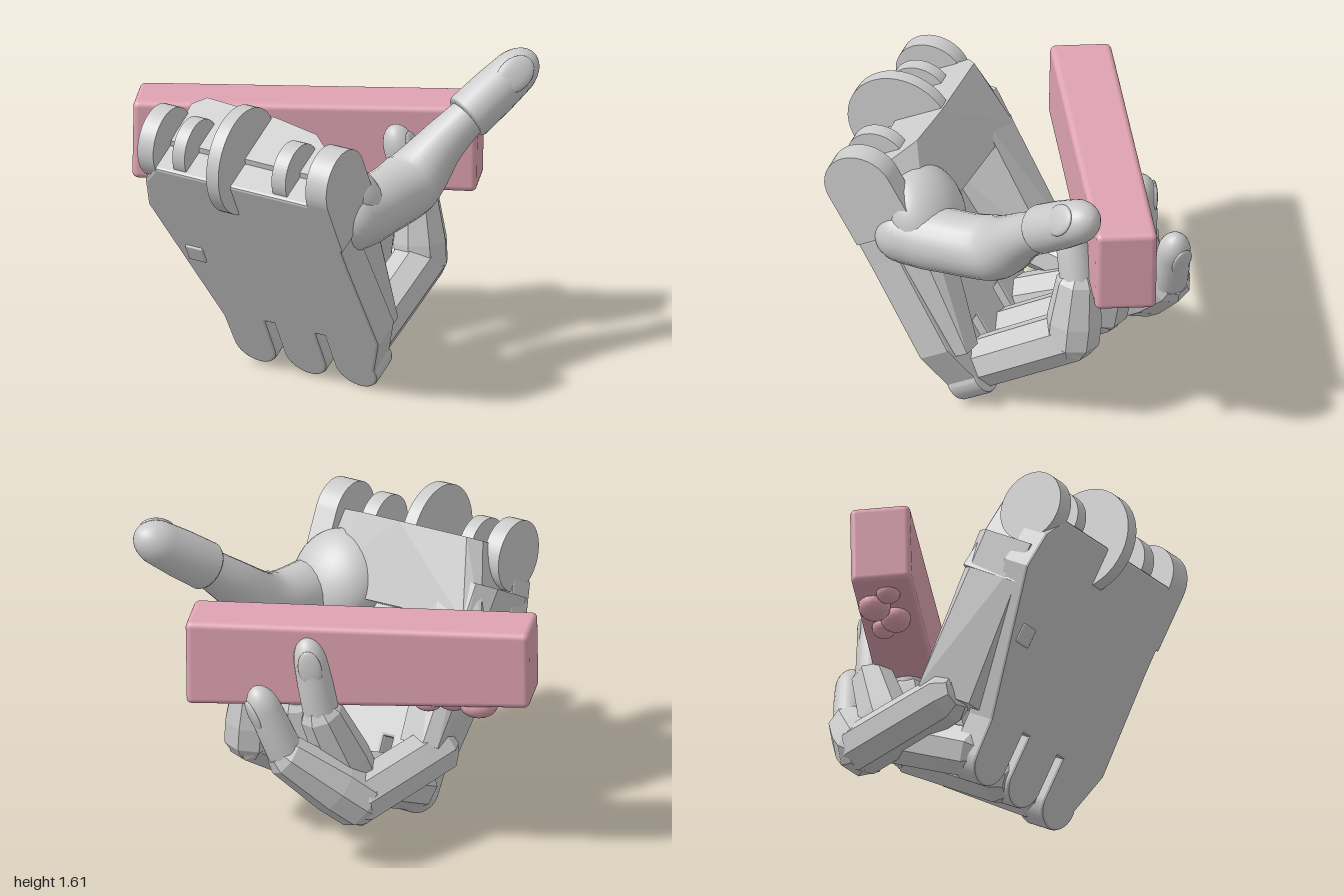
import * as THREE from 'three';
import { RoundedBoxGeometry } from 'three/addons/geometries/RoundedBoxGeometry.js';
import { ConvexGeometry } from 'three/addons/geometries/ConvexGeometry.js';

const V = (x, y, z) => new THREE.Vector3(x, y, z);
const UP = V(0, 1, 0);

export function createModel() {
  const model = new THREE.Group();
  model.name = 'handHoldingBar';
  const grey = new THREE.MeshStandardMaterial({ color: 0xcccccc });
  const flat = new THREE.MeshStandardMaterial({ color: 0xcccccc, flatShading: true });
  const pink = new THREE.MeshStandardMaterial({ color: 0xdfa3b2 });

  function add(parent, name, geometry, material = grey) {
    const mesh = new THREE.Mesh(geometry, material);
    mesh.name = name;
    parent.add(mesh);
    return mesh;
  }

  // Stand a y-axis geometry on point a, aimed at point b
  function aim(mesh, a, b) {
    mesh.position.copy(a);
    mesh.quaternion.setFromUnitVectors(UP, b.clone().sub(a).normalize());
    return mesh;
  }

  // Chamfered eight-sided finger bone with blunt ends
  function bone(parent, name, a, b, ra, rb) {
    const L = a.distanceTo(b);
    const pts = [[0.001, -ra * 0.8], [ra * 0.65, -ra * 0.7], [ra, -ra * 0.2], [ra * 1.02, L * 0.3],
      [rb, L + rb * 0.1], [rb * 0.7, L + rb * 0.55], [0.001, L + rb * 0.65]].map(p => new THREE.Vector2(...p));
    const geo = new THREE.LatheGeometry(pts, 8);
    geo.rotateY(Math.PI / 8);
    return aim(add(parent, name, geo, flat), a, b);
  }

  // Smooth fingertip with a collar step and a nail on the given side
  function fingertip(parent, name, a, b, r, nailDir) {
    const L = a.distanceTo(b);
    const pts = [new THREE.Vector2(0.001, 0), new THREE.Vector2(r * 0.93, 0), new THREE.Vector2(r, 0.015),
      new THREE.Vector2(r * 0.98, L * 0.4)];
    for (let i = 0; i <= 8; i++) {
      const t = i / 8 * Math.PI / 2;
      pts.push(new THREE.Vector2(Math.max(0.001, r * 0.92 * Math.cos(t)), L * 0.66 + L * 0.34 * Math.sin(t)));
    }
    aim(add(parent, name, new THREE.LatheGeometry(pts, 24)), a, b);
    const axis = b.clone().sub(a).normalize();
    const out = nailDir.clone().addScaledVector(axis, -nailDir.dot(axis)).normalize();
    const side = axis.clone().cross(out);
    const nail = add(parent, name + 'Nail', new THREE.SphereGeometry(1, 20, 12));
    nail.scale.set(r * 0.65, L * 0.23, r * 0.2);
    nail.quaternion.setFromRotationMatrix(new THREE.Matrix4().makeBasis(side, axis, out));
    nail.position.copy(a).addScaledVector(axis, L * 0.66).addScaledVector(out, r * 0.76);
  }

  // Palm frame: x across the knuckles, y toward the wrist, z out of the back of the hand
  const u = V(0.876, -0.03, 0.48).normalize();
  const n = u.clone().cross(V(-0.225, 0.88, 0.435)).normalize();
  const palm = new THREE.Group();
  palm.name = 'palm';
  palm.quaternion.setFromRotationMatrix(new THREE.Matrix4().makeBasis(u, n.clone().cross(u), n));
  palm.position.set(-0.13, 0.02, 0.05);
  model.add(palm);

  // Back plate with three rounded knuckle lobes separated by slots
  const plate = new THREE.Shape();
  plate.moveTo(0.5, 0.36);
  plate.lineTo(0.415, 0.14);
  [0.315, 0.025, -0.265].forEach((k, i) => {
    if (i) plate.lineTo(k + 0.105, 0.34);
    plate.lineTo(k + 0.105, 0.115);
    plate.absarc(k, 0.115, 0.105, 0, -Math.PI, true);
    if (i < 2) plate.lineTo(k - 0.105, 0.34);
  });
  for (const p of [[-0.38, 0.3], [-0.61, 1.04], [-0.58, 1.22], [-0.5, 1.32], [0.46, 1.32], [0.47, 0.9]]) plate.lineTo(...p);
  const plateGeo = new THREE.ExtrudeGeometry(plate, { depth: 0.14, bevelSize: 0.015, bevelThickness: 0.015, bevelSegments: 2, curveSegments: 14 });
  plateGeo.translate(0, 0, -0.155);
  add(palm, 'backPlate', plateGeo);

  // Faceted solid between two cross-sections [x, z] at heights y0 and y1
  function solid(name, y0, low, y1, high) {
    const pts = [...low.map(p => V(p[0], y0, p[1])), ...high.map(p => V(p[0], y1, p[1]))];
    return add(palm, name, new ConvexGeometry(pts), flat);
  }
  solid('outerPalmSide', 0.32, [[-0.49, -0.1], [-0.55, -0.4], [-0.49, -0.45], [-0.33, -0.4], [-0.3, -0.1]],
    1.15, [[-0.62, -0.05], [-0.63, -0.35], [-0.56, -0.45], [-0.34, -0.44], [-0.25, -0.1]]);
  solid('innerPalmSide', 0.3, [[0.47, -0.06], [0.48, -0.24], [0.4, -0.27], [0.28, -0.14]],
    1.15, [[0.46, -0.06], [0.48, -0.34], [0.42, -0.42], [0.15, -0.38], [0.1, -0.1]]);
  solid('wristBlock', 0.95,
    [[-0.6, -0.06], [-0.62, -0.4], [-0.54, -0.45], [0, -0.36], [0.42, -0.34], [0.46, -0.06]],
    1.36, [[-0.5, -0.17], [-0.52, -0.42], [-0.46, -0.48], [-0.05, -0.46], [0.2, -0.42], [0.38, -0.28], [0.38, -0.17]]);

  // Wrist hinge: discs of different size in one row
  [[-0.55, 0.18, 0.09], [-0.375, 0.155, 0.07], [-0.11, 0.27, 0.07], [0.2, 0.155, 0.08], [0.43, 0.18, 0.12]]
    .forEach(([x, r, w]) => {
      const geo = new THREE.CylinderGeometry(r, r, w, 40);
      geo.rotateZ(Math.PI / 2);
      add(palm, 'hingeDisc', geo).position.set(x, 1.335, -0.18);
    });
  add(palm, 'hingeNeck', new THREE.BoxGeometry(0.12, 0.3, 0.36)).position.set(0.43, 1.185, -0.18);
  const outer = new THREE.CylinderGeometry(0.1, 0.1, 0.16, 24);
  outer.rotateZ(Math.PI / 2);
  add(palm, 'outerKnuckle', outer).position.set(-0.45, 0.33, -0.31);
  add(palm, 'sideTab', new RoundedBoxGeometry(0.1, 0.1, 0.1, 2, 0.01)).position.set(-0.43, 0.74, -0.04);

  // Thumb pad inside the palm
  const pad = add(palm, 'thumbPad', new THREE.SphereGeometry(1, 32, 20));
  pad.scale.set(0.24, 0.25, 0.17);
  pad.position.set(0.29, 1.02, -0.32);

  // Fingers: knuckle, middle joint, end joint, tip
  const fingers = [
    ['indexFinger', V(0.14, 0.2, 0.13), V(0.42, 0.51, -0.28), V(0.4, 0.81, -0.31), V(0.28, 1.2, -0.28), V(0.8, 0, 0.3)],
    ['middleFinger', V(-0.12, 0.17, -0.01), V(0.14, 0.47, -0.46), V(0.17, 0.78, -0.5), V(0.17, 1.1, -0.5), V(0.3, 0, -1)],
    ['ringFinger', V(-0.36, 0.2, -0.12), V(-0.1, 0.43, -0.56), V(0.04, 0.8, -0.66), V(0.12, 1.21, -0.66), V(0, 0, -1)],
    ['littleFinger', V(-0.48, 0.44, -0.25), V(-0.13, 0.36, -0.69), V(0.2, 0.63, -0.79), V(0.36, 1.0, -0.8), V(0.8, 0, -0.4)],
  ];
  for (const [name, a, b, c, d, nailDir] of fingers) {
    const finger = new THREE.Group();
    finger.name = name;
    model.add(finger);
    bone(finger, 'lowerBone', a, b, 0.13, 0.135);
    bone(finger, 'middleBone', b, c, 0.136, 0.11);
    fingertip(finger, 'fingertip', c, d, 0.09, nailDir);
  }

  // Thumb: tube whose rings follow a list of radii
  const thumb = new THREE.Group();
  thumb.name = 'thumb';
  model.add(thumb);
  const path = new THREE.CatmullRomCurve3([V(0.1, 0.99, 0.5), V(0.21, 0.995, 0.34), V(0.38, 1.04, 0.1), V(0.53, 1.2, -0.02), V(0.68, 1.34, -0.11)]);
  const radii = [0.163, 0.165, 0.16, 0.16, 0.165, 0.145, 0.12, 0.105, 0.095];
  const rings = 32, sides = 20;
  const tube = new THREE.TubeGeometry(path, rings, 1, sides);
  const pos = tube.attributes.position, v = V(0, 0, 0);
  for (let i = 0; i <= rings; i++) {
    const centre = path.getPointAt(i / rings);
    const f = i / rings * (radii.length - 1), k = Math.min(Math.floor(f), radii.length - 2);
    const r = THREE.MathUtils.lerp(radii[k], radii[k + 1], f - k);
    for (let j = 0; j <= sides; j++) {
      const id = i * (sides + 1) + j;
      v.fromBufferAttribute(pos, id).sub(centre).multiplyScalar(r).add(centre);
      pos.setXYZ(id, v.x, v.y, v.z);
    }
  }
  add(thumb, 'thumbBase', tube);
  add(thumb, 'thumbRoot', new THREE.SphereGeometry(0.162, 24, 16)).position.set(0.1, 0.99, 0.5);
  fingertip(thumb, 'thumbTip', V(0.65, 1.315, -0.09), V(0.975, 1.58, -0.3), 0.123, V(0.4, 0.5, 0.8));

  // Soft bar with a slightly uneven surface
  const barGeo = new RoundedBoxGeometry(1.69, 0.44, 0.3, 5, 0.03);
  const bp = barGeo.attributes.position;
  for (let i = 0; i < bp.count; i++) {
    const x = bp.getX(i), y = bp.getY(i), z = bp.getZ(i);
    bp.setXYZ(i, x + 0.012 * Math.sin(y * 14 + z * 9), y + (y < 0 && x < 0 ? 0.04 : 0), z + 0.006 * Math.sin(y * 11 + x * 5));
  }
  const bar = new THREE.Group();
  bar.name = 'bar';
  bar.position.set(-0.145, 1.045, -0.51);
  model.add(bar);
  add(bar, 'barBody', barGeo, pink);
  // Melted drips under the bar
  [[-0.69, -0.18, 0.02, 0.06], [-0.58, -0.2, -0.06, 0.08], [-0.45, -0.21, 0.03, 0.075], [-0.33, -0.2, -0.04, 0.06], [0.76, -0.19, 0, 0.05]]
    .forEach(([x, y, z, r]) => {
      const drip = add(bar, 'drip', new THREE.SphereGeometry(r, 16, 12), pink);
      drip.position.set(x, y, z);
      drip.scale.set(1.2, 0.85, 1);
    });
  return model;
}
